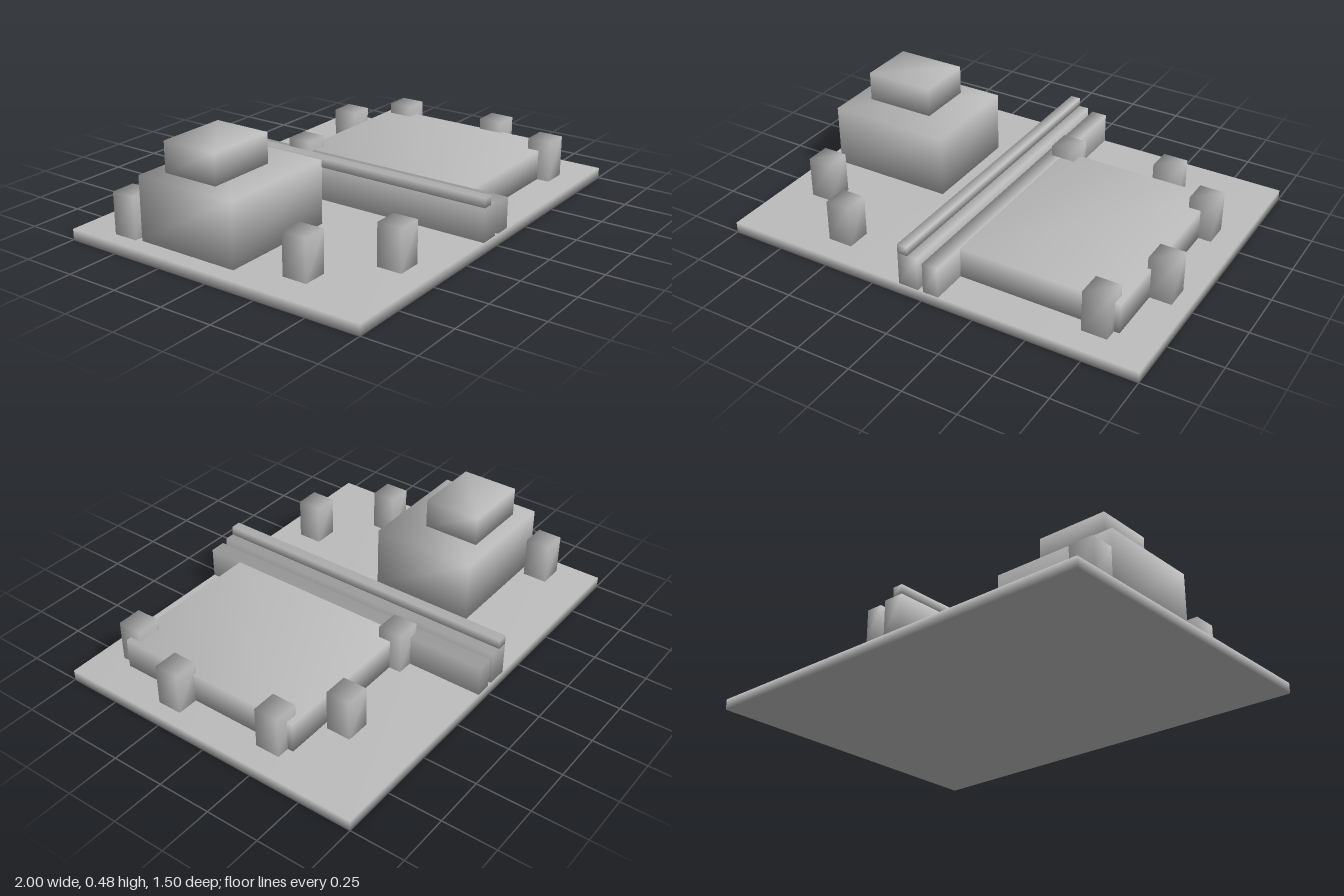
import * as THREE from 'three';
import { mergeVertices } from 'three/addons/utils/BufferGeometryUtils.js';

const concrete = new THREE.MeshStandardMaterial({ color: 0xbcbcbc });
concrete.name = 'light grey';

// Box given by its limits, with shared corners so the shading runs smoothly round the edges
function block(name, [x0, x1], [y0, y1], [z0, z1]) {
  let geometry = new THREE.BoxGeometry(x1 - x0, y1 - y0, z1 - z0);
  geometry.deleteAttribute('normal');
  geometry.deleteAttribute('uv');
  geometry = mergeVertices(geometry);
  geometry.computeVertexNormals();
  const mesh = new THREE.Mesh(geometry, concrete);
  mesh.name = name;
  mesh.position.set((x0 + x1) / 2, (y0 + y1) / 2, (z0 + z1) / 2);
  return mesh;
}

export function createModel() {
  const model = new THREE.Group();
  model.name = 'siteModel';
  const fullDepth = [-0.75, 0.75];

  // Ground slab
  model.add(block('base', [-1, 1], [0, 0.05], fullDepth));

  // Two-tier building
  model.add(block('buildingLower', [-0.92, -0.335], [0.05, 0.343], [-0.418, 0.08]));
  model.add(block('buildingUpper', [-0.835, -0.503], [0.343, 0.483], [-0.348, -0.075]));

  // Low platform on the other side
  model.add(block('platform', [0.08, 0.83], [0.05, 0.192], [-0.338, 0.578]));

  // Pair of long walls, the first with a narrow coping
  const walls = new THREE.Group();
  walls.name = 'walls';
  walls.add(block('wall', [-0.11, -0.015], [0.05, 0.205], fullDepth));
  walls.add(block('wallCoping', [-0.11, -0.062], [0.205, 0.248], fullDepth));
  walls.add(block('lowWall', [0.01, 0.085], [0.05, 0.193], fullDepth));
  model.add(walls);

  // Square posts scattered over the slab
  const posts = new THREE.Group();
  posts.name = 'posts';
  const half = 0.058;
  const spots = [
    [-0.875, -0.503], [-0.793, 0.332], [-0.503, 0.58], [0.102, -0.337],
    [0.58, -0.42], [0.832, -0.253], [0.872, 0.247], [0.747, 0.58],
  ];
  for (const [x, z] of spots) {
    posts.add(block('post', [x - half, x + half], [0.05, 0.243], [z - half, z + half]));
  }
  model.add(posts);

  return model;
}
